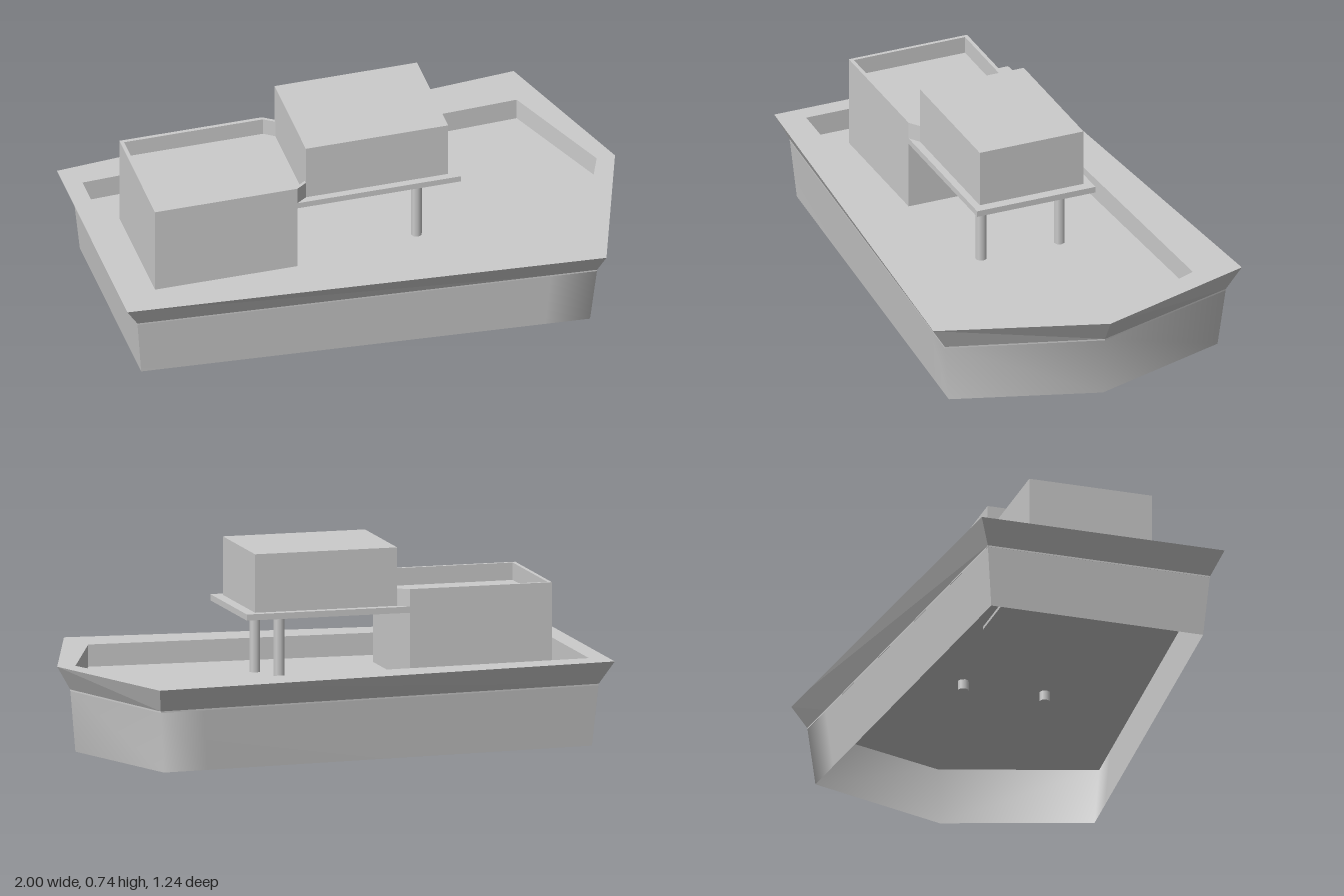
import * as THREE from 'three';

const material = new THREE.MeshStandardMaterial({ color: 0xcccccc, side: THREE.DoubleSide });

function add(parent, name, geometry, x = 0, y = 0, z = 0) {
  const mesh = new THREE.Mesh(geometry, material);
  mesh.name = name;
  mesh.position.set(x, y, z);
  parent.add(mesh);
  return mesh;
}

// Box given by its extents on each axis
function block(parent, name, [x0, x1], [y0, y1], [z0, z1]) {
  add(parent, name, new THREE.BoxGeometry(x1 - x0, y1 - y0, z1 - z0),
    (x0 + x1) / 2, (y0 + y1) / 2, (z0 + z1) / 2);
}

// Boat outline as [x, z] points, from the port stern round the bow to starboard
function outline(stern, sternHalf, shoulder, shoulderHalf, bow) {
  const t = 0.9;
  const mid = [stern + (shoulder - stern) * t, sternHalf + (shoulderHalf - sternHalf) * t];
  const port = [[stern, sternHalf], mid, [shoulder, shoulderHalf]];
  return [...port, [bow, 0], ...port.map(([x, z]) => [x, -z]).reverse()];
}

// Shape lying in the x-z plane
const flat = (points) => new THREE.Shape(points.map(([x, z]) => new THREE.Vector2(x, -z)));

function slab(points, height) {
  return new THREE.ExtrudeGeometry(flat(points), { depth: height, bevelEnabled: false })
    .rotateX(-Math.PI / 2);
}

// Wall between a lower and an upper outline; the transom keeps sharp corners
function wall(lower, y0, upper, y1, smooth) {
  const n = lower.length, positions = [], index = [];
  const order = [...lower.keys(), n - 1, 0];
  for (const i of order) {
    positions.push(lower[i][0], y0, lower[i][1], upper[i][0], y1, upper[i][1]);
  }
  for (let i = 0; i <= n; i++) {
    if (i === n - 1) continue;
    const a = 2 * i;
    index.push(a, a + 2, a + 1, a + 1, a + 2, a + 3);
  }
  let geometry = new THREE.BufferGeometry();
  geometry.setAttribute('position', new THREE.Float32BufferAttribute(positions, 3));
  geometry.setIndex(index);
  if (!smooth) geometry = geometry.toNonIndexed();
  geometry.computeVertexNormals();
  return geometry;
}

export function createModel() {
  const boat = new THREE.Group();
  boat.name = 'boat';

  // Hull: open-bottomed sides, flared bulwark and a sunken deck
  const hull = new THREE.Group();
  hull.name = 'hull';
  boat.add(hull);
  const keel = outline(-0.93, 0.41, 0.75, 0.54, 0.93);
  const knuckle = outline(-0.95, 0.43, 0.77, 0.565, 0.95);
  const gunwale = outline(-1, 0.47, 0.79, 0.62, 1);
  const inner = outline(-0.93, 0.372, 0.75, 0.441, 0.93);
  add(hull, 'hullSides', wall(keel, 0, knuckle, 0.233, true));
  add(hull, 'flare', wall(knuckle, 0.233, gunwale, 0.32, false));
  add(hull, 'bulwarkInside', wall([...inner].reverse(), 0.235, [...inner].reverse(), 0.32, false));
  const rim = flat(gunwale);
  rim.holes.push(flat(inner));
  add(hull, 'rim', new THREE.ShapeGeometry(rim).rotateX(-Math.PI / 2), 0, 0.32, 0);
  add(hull, 'deck', slab(knuckle, 0.01), 0, 0.227, 0);

  // Aft cabin under a roof that reaches forward as a platform
  const zSpan = [-0.23, 0.245];
  block(boat, 'cabin', [-0.83, -0.285], [0.215, 0.5], zSpan);
  block(boat, 'roofPlatform', [-0.83, 0.34], [0.497, 0.52], zSpan);

  // Parapet round the cabin roof, angled in to meet the wheelhouse
  const mid = 0.0075;
  const side = (corner, inset) => [
    [-0.245, 0.21 - inset], [-0.285, corner - inset], [-0.83 + inset, corner - inset],
  ];
  const half = (inset) => side(0.2375, inset);
  const loop = (inset) => [...half(inset), ...half(inset).map(([x, z]) => [x, -z]).reverse()];
  add(boat, 'parapet', slab([...loop(0), ...loop(0.014).reverse()], 0.067), 0, 0.518, mid);

  // Wheelhouse
  block(boat, 'wheelhouse', [-0.245, 0.3], [0.518, 0.738], [-0.2, 0.217]);

  // Posts holding up the platform
  for (const z of [-0.15, 0.165]) {
    add(boat, 'post', new THREE.CylinderGeometry(0.021, 0.021, 0.31, 8), 0.193, 0.345, z);
  }

  return boat;
}
